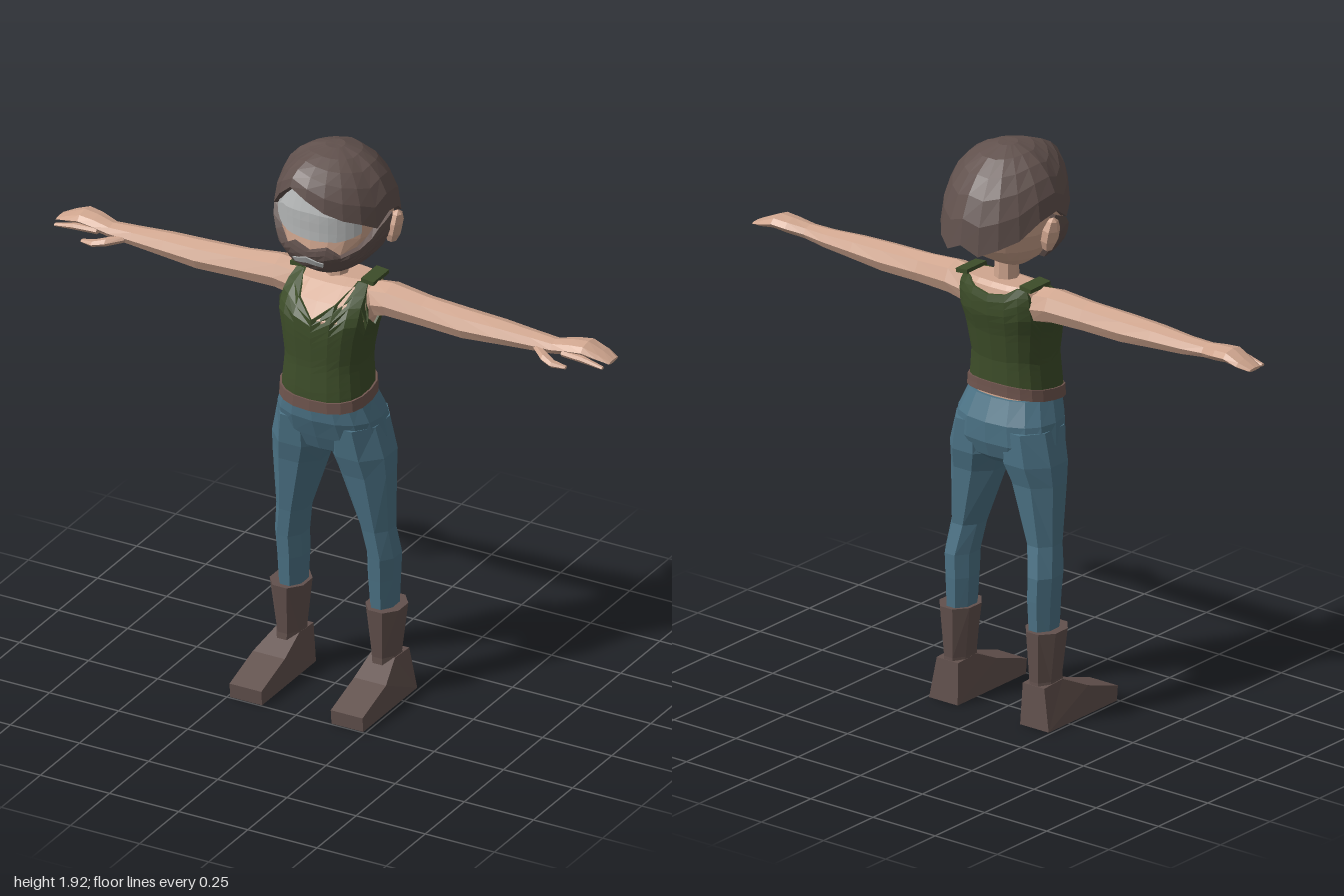
import * as THREE from 'three';

const material = (name, color) => {
  const m = new THREE.MeshStandardMaterial({ color });
  m.name = name;
  return m;
};
const RAD = Math.PI / 180;

// Linear lookup in rows of [key, value, ...]
function lookup(table, k) {
  let i = 0;
  while (i < table.length - 2 && k > table[i + 1][0]) i++;
  const a = table[i], b = table[i + 1];
  const t = THREE.MathUtils.clamp((k - a[0]) / (b[0] - a[0]), 0, 1);
  return a.slice(1).map((v, j) => v + (b[j + 1] - v) * t);
}

// Flat-shaded skin over rows of points, closed around and capped if asked
function loft(rows, closed = true, caps = closed) {
  const pos = [];
  const tri = (...pts) => pts.forEach(p => pos.push(p.x, p.y, p.z));
  const n = rows[0].length;
  for (let r = 0; r < rows.length - 1; r++) {
    for (let c = 0; c < (closed ? n : n - 1); c++) {
      const d = (c + 1) % n, lo = rows[r], hi = rows[r + 1];
      tri(lo[c], lo[d], hi[d]);
      tri(lo[c], hi[d], hi[c]);
    }
  }
  if (caps) {
    for (const row of [rows[0], rows[rows.length - 1]]) {
      const mid = row.reduce((s, p) => s.add(p), new THREE.Vector3()).divideScalar(n);
      for (let c = 0; c < n; c++) {
        const d = (c + 1) % n;
        if (row === rows[0]) tri(row[d], row[c], mid);
        else tri(row[c], row[d], mid);
      }
    }
  }
  const g = new THREE.BufferGeometry();
  g.setAttribute('position', new THREE.Float32BufferAttribute(pos, 3));
  g.computeVertexNormals();
  return g;
}

// Copy across x = 0 with the corner order restored
function mirrored(geo) {
  const g = geo.index ? geo.toNonIndexed() : geo.clone();
  const p = g.attributes.position;
  for (let i = 0; i < p.count; i += 3) {
    const [a, b, c] = [0, 1, 2].map(k => new THREE.Vector3().fromBufferAttribute(p, i + k));
    [a, c, b].forEach((v, k) => p.setXYZ(i + k, -v.x, v.y, v.z));
  }
  g.computeVertexNormals();
  return g;
}

// Body surface from rings of [y, halfWidth, front z, back z]; angle 0 is the front
function surface(rings, power) {
  const pw = v => Math.sign(v) * Math.abs(v) ** power;
  return (deg, y, off = 0) => {
    const [hw, zf, zb] = lookup(rings, y);
    const s = pw(Math.sin(deg * RAD)), c = pw(Math.cos(deg * RAD)), mid = (zf + zb) / 2;
    return new THREE.Vector3(s * (hw + off), y, mid + c * ((zf - zb) / 2 + off));
  };
}
const around = (n, f) => Array.from({ length: n }, (_, i) => f(i * 360 / n));
const body = (rings, surf, n = 20) => loft(rings.map(r => around(n, a => surf(a, r[0]))));

// Raised layer over a surface between two edge heights, rims turned inward
function layer(surf, angles, low, high, rows, off, closed) {
  const steps = [-1, ...Array.from({ length: rows + 1 }, (_, i) => i), rows + 1];
  const cols = closed ? angles : [angles[0], ...angles, angles[angles.length - 1]];
  return loft(steps.map(s => cols.map((a, c) => {
    const t = THREE.MathUtils.clamp(s / rows, 0, 1);
    const rim = s < 0 || s > rows || (!closed && (c === 0 || c === cols.length - 1));
    return surf(a, low(a) + (high(a) - low(a)) * t, rim ? -0.004 : off);
  })), closed, false);
}
const span = (max, step) =>
  Array.from({ length: Math.round(2 * max / step) + 1 }, (_, i) => -max + i * step);
const turn = a => Math.abs(((a + 180) % 360 + 360) % 360 - 180);
const edge = table => a => lookup(table, turn(a))[0];

// Limb along x from rows of [x, y, half height, z, half depth]
const limb = (rows, n = 8) => loft(rows.map(([x, y, hy, z, hz]) => around(n, a =>
  new THREE.Vector3(x, y - hy * Math.sin(a * RAD), z + hz * Math.cos(a * RAD)))));
// Upright tube from rows of [y, inner x, outer x, front z, back z]
const column = (rows, n = 8) => loft(rows.map(([y, xi, xo, zf, zb]) => around(n, d => {
  const a = (d + 22.5) * RAD, k = 1.07;
  return new THREE.Vector3((xi + xo) / 2 + k * Math.sin(a) * (xo - xi) / 2, y,
    (zf + zb) / 2 + k * Math.cos(a) * (zf - zb) / 2);
})));

export function createModel() {
  const skin = material('skin', 0xd0a68f), hair = material('hair', 0x61514d);
  const green = material('tank top green', 0x3d4d29), denim = material('denim', 0x4c7386);
  const leather = material('boot leather', 0x62514d), beltMat = material('belt brown', 0x6f554e);
  const pale = material('pale grey', 0xb4b6b6);
  const model = new THREE.Group();
  const add = (name, geo, mat) => {
    const m = new THREE.Mesh(geo, mat);
    m.name = name;
    model.add(m);
  };
  const pair = (name, geo, mat) => {
    add('left' + name, geo, mat);
    add('right' + name, mirrored(geo), mat);
  };

  // Head
  const headRings = [[1.51, .05, .08, -.03], [1.55, .105, .14, -.1], [1.6, .15, .163, -.16],
    [1.66, .175, .157, -.185], [1.74, .178, .16, -.19], [1.82, .14, .14, -.15], [1.88, .09, .09, -.09]];
  const face = surface(headRings, 0.9);
  add('head', body(headRings, face), skin);
  add('eyeBand', layer(face, span(54, 9), edge([[0, 1.65], [30, 1.655], [54, 1.68]]),
    edge([[0, 1.84], [36, 1.82], [54, 1.74]]), 6, .007, false), pale);
  add('beard', layer(face, span(90, 9), edge([[0, 1.512], [54, 1.525], [90, 1.55]]),
    edge([[0, 1.615], [18, 1.632], [36, 1.605], [54, 1.63], [72, 1.69], [90, 1.72]]), 6, .022, false), hair);
  add('mouth', layer(face, span(18, 9), edge([[0, 1.575], [18, 1.565]]),
    edge([[0, 1.6], [9, 1.588], [18, 1.582]]), 2, .028, false), pale);
  const ear = new THREE.SphereGeometry(1, 6, 5).toNonIndexed();
  ear.scale(.026, .062, .036).rotateZ(-.2).translate(.196, 1.66, -.035);
  ear.computeVertexNormals();
  pair('Ear', ear, skin);

  // Hair cap: each column curves from the crown to its own hem height
  const hem = [1.8, 1.765, 1.74, 1.72, 1.69, 1.73, 1.71, 1.66, 1.635, 1.61,
    1.64, 1.61, 1.635, 1.66, 1.71, 1.73, 1.69, 1.72, 1.78, 1.83];
  const hairRow = (t, shrink) => hem.map((h, i) => {
    const a = i * 18 * RAD, s = Math.sin(t * Math.PI / 2) * shrink, c = Math.cos(a);
    return new THREE.Vector3(.196 * s * Math.sin(a), h + (1.92 - h) * Math.cos(t * Math.PI / 2),
      c * s * (c > 0 ? .19 : .245));
  });
  add('hairCap', loft([hairRow(1, .82), ...[1, .8, .62, .45, .28, .1].map(t => hairRow(t, 1))]), hair);

  // Neck and torso
  const neck = new THREE.CylinderGeometry(.036, .042, .15, 8).toNonIndexed();
  neck.translate(0, 1.505, -.01).computeVertexNormals();
  add('neck', neck, skin);
  const torsoRings = [[1.04, .145, .153, -.078], [1.1, .14, .153, -.075], [1.2, .13, .148, -.075],
    [1.3, .145, .152, -.09], [1.36, .16, .15, -.105], [1.41, .158, .115, -.105],
    [1.45, .152, .055, -.092], [1.465, .14, .02, -.08]];
  const trunk = surface(torsoRings, 0.8);
  add('torso', body(torsoRings, trunk), skin);
  const ring = around(20, a => a);
  const waist = a => 1.085 - .022 * Math.cos(a * RAD);
  add('tankTop', layer(trunk, ring, waist, edge([[0, 1.36], [18, 1.41], [36, 1.462], [54, 1.462],
    [72, 1.37], [90, 1.33], [108, 1.37], [126, 1.462], [144, 1.462], [162, 1.44], [180, 1.43]]),
  14, .008, true), green);
  pair('Strap', new THREE.BoxGeometry(.045, .014, .1).rotateZ(-.1).translate(.128, 1.468, -.028), green);
  add('belt', layer(trunk, ring, a => waist(a) - .02, a => waist(a) + .018, 2, .014, true), beltMat);

  // Trousers
  const hipRings = [[.855, .05, .06, -.07], [.88, .16, .1, -.1], [.93, .19, .122, -.118],
    [1, .178, .15, -.12], [1.075, .15, .158, -.088]];
  add('hips', body(hipRings, surface(hipRings, 0.85), 16), denim);
  pair('TrouserLeg', column([[.3, .125, .205, .03, -.085], [.42, .118, .21, .038, -.09],
    [.5, .118, .215, .045, -.09], [.6, .1, .203, .055, -.07], [.8, .032, .206, .088, -.085],
    [.87, .003, .204, .108, -.105], [.98, .01, .178, .125, -.108]]), denim);

  // Boots
  pair('BootShaft', column([[.08, .13, .222, .04, -.095], [.15, .13, .213, .035, -.09],
    [.32, .112, .234, .05, -.1]]), leather);
  const side = new THREE.Shape([[-.1, 0], [.245, 0], [.25, .05], [.1, .098], [.0, .145], [-.092, .14]]
    .map(p => new THREE.Vector2(...p)));
  const foot = new THREE.ExtrudeGeometry(side, { depth: .115, bevelEnabled: false });
  foot.rotateY(-Math.PI / 2).translate(.0575, 0, 0);
  const fp = foot.attributes.position;
  for (let i = 0; i < fp.count; i++) {
    const narrow = fp.getY(i) > .12 ? .75 : 1;
    fp.setX(i, .183 + fp.getX(i) * narrow - (narrow < 1 ? .01 : 0));
  }
  foot.computeVertexNormals();
  pair('BootFoot', foot, leather);

  // Arms and hands
  pair('Arm', limb([[.13, 1.4, .062, -.012, .06], [.2, 1.412, .057, -.012, .062],
    [.33, 1.406, .05, -.005, .055], [.48, 1.402, .048, 0, .056], [.6, 1.405, .04, 0, .05],
    [.72, 1.405, .031, 0, .04], [.8, 1.408, .024, .004, .036], [.86, 1.418, .024, -.006, .046],
    [.91, 1.424, .022, -.01, .05], [.96, 1.41, .013, -.015, .044], [1, 1.398, .005, -.012, .03]]), skin);
  pair('Finger', limb([[.84, 1.405, .012, .03, .014], [.92, 1.405, .011, .04, .012],
    [.99, 1.393, .005, .04, .008]], 6), skin);
  pair('Thumb', limb([[.74, 1.4, .012, .025, .015], [.79, 1.392, .014, .06, .022],
    [.83, 1.385, .011, .078, .018], [.875, 1.38, .005, .072, .009]], 6), skin);
  return model;
}
